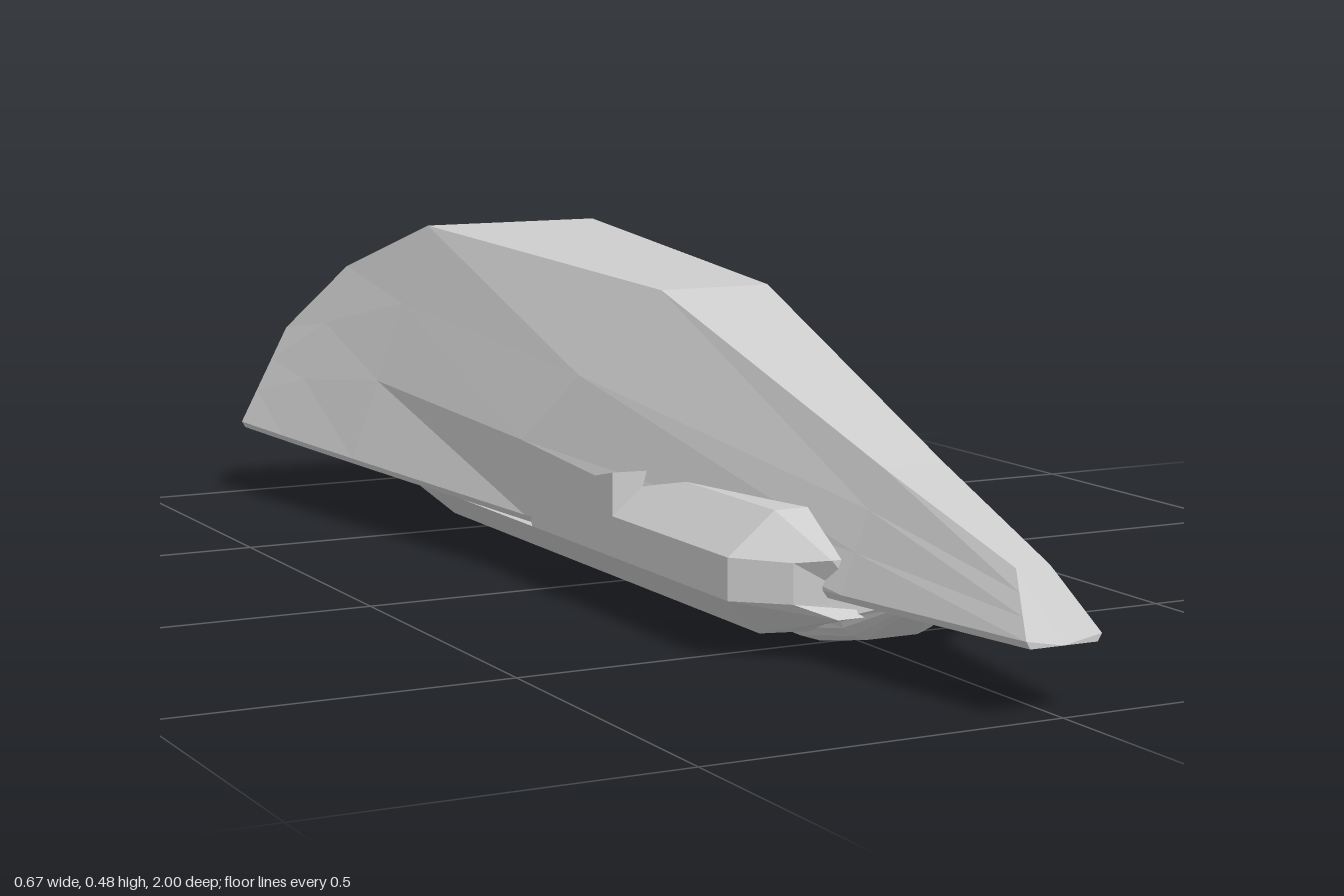
import * as THREE from 'three';

// Skin a list of rings (front to back, each counter-clockwise seen from +z) and cap both ends
function loft(name, rings) {
  const pos = [];
  const tri = (a, b, c) => pos.push(...a, ...b, ...c);
  const n = rings[0].length;
  for (let k = 0; k < rings.length - 1; k++) {
    const A = rings[k], B = rings[k + 1];
    for (let i = 0; i < n; i++) {
      const j = (i + 1) % n;
      tri(A[i], B[i], A[j]);
      tri(A[j], B[i], B[j]);
    }
  }
  const F = rings[0], R = rings[rings.length - 1];
  for (let i = 1; i < n - 1; i++) {
    tri(F[0], F[i], F[i + 1]);
    tri(R[0], R[i + 1], R[i]);
  }
  const geo = new THREE.BufferGeometry();
  geo.setAttribute('position', new THREE.Float32BufferAttribute(pos, 3));
  geo.computeVertexNormals();
  const mesh = new THREE.Mesh(geo, new THREE.MeshStandardMaterial({ color: 0xcccccc, flatShading: true }));
  mesh.name = name;
  return mesh;
}

const flip = ([x, y, z]) => [-x, y, z];
// Half ring from bottom to top on +x, completed on -x
const symmetric = (half) => [
  ...half,
  ...half.slice().reverse().filter((p) => p[0] > 0).map(flip),
];
const mirrorRings = (rings) => rings.map((r) => r.map(flip).reverse());
const atZ = (pts, z) => pts.map(([x, y]) => [x, y, z]);
const mix = (a, b, t) => a.map((v, i) => v + (b[i] - v) * t);

// Hull section: keel height, lower edge, roof corner, optional side points
function hullRing(keelY, edge, top, sides = [mix(edge, top, 1 / 3), mix(edge, top, 2 / 3)]) {
  const [x, y, z] = edge;
  return symmetric([[0, keelY, z], [x - 0.006, y - 0.01, z], edge, ...sides, top]);
}

export function createModel() {
  const model = new THREE.Group();
  model.name = 'wedgeCraft';

  // Main faceted hull, nose to stern
  model.add(loft('hull', [
    hullRing(0.09, [0.055, 0.1, 1], [0.025, 0.175, 0.93]),
    hullRing(0.088, [0.108, 0.098, 0.65], [0.046, 0.26, 0.65]),
    hullRing(0.08, [0.213, 0.092, -0.1], [0.087, 0.44, 0.1],
      [[0.217, 0.205, -0.1], [0.17, 0.31, 0]]),
    hullRing(0.08, [0.284, 0.108, -0.61], [0.148, 0.48, -0.61]),
    hullRing(0.08, [0.314, 0.115, -0.85], [0.195, 0.395, -0.85]),
    hullRing(0.08, [0.333, 0.12, -1], [0.255, 0.28, -0.985]),
  ]));

  // Side pods with chamfered fronts and tapering tails
  const podSection = [[0.215, 0.08], [0.215, 0.138], [0.145, 0.195], [0.06, 0.195], [0.06, 0.08]];
  const pod = [
    [[0.15, 0.08, 0.6], [0.15, 0.135, 0.6], [0.11, 0.14, 0.63], [0.06, 0.14, 0.63], [0.06, 0.08, 0.63]],
    atZ(podSection, 0.54),
    atZ(podSection, 0.2),
    atZ([[0.215, 0.08], [0.215, 0.138], [0.2, 0.14], [0.06, 0.14], [0.06, 0.08]], -0.07),
  ];
  model.add(loft('leftPod', pod), loft('rightPod', mirrorRings(pod)));

  // Raised wedge on the right pod only
  const wedgeSection = (h) => [[0.215, 0.1], [0.215, h], [0.1, h - 0.003], [0.1, 0.1]];
  model.add(loft('rightPodWedge', mirrorRings([
    atZ(wedgeSection(0.2), 0.2),
    atZ(wedgeSection(0.139), -0.07),
  ])));

  // Belly slab under the pods
  const belly = [[0, 0.022], [0.145, 0.022], [0.215, 0.08], [0, 0.088]];
  model.add(loft('belly', [
    symmetric([[0, 0.06, 0.63], [0.1, 0.06, 0.63], [0.15, 0.08, 0.6], [0, 0.085, 0.63]]),
    symmetric([[0, 0.022, 0.54], [0.145, 0.022, 0.5], [0.215, 0.08, 0.54], [0, 0.088, 0.54]]),
    symmetric(atZ(belly, -0.52)),
  ]));

  // Rounded keel with a tapered tip
  const keel = [[0, 0], [0.045, 0], [0.075, 0.01], [0.085, 0.022], [0.085, 0.045], [0.07, 0.068], [0, 0.08]];
  model.add(loft('keel', [
    symmetric(atZ([[0, 0.068], [0.022, 0.068], [0.03, 0.071], [0.036, 0.076], [0.04, 0.082], [0.04, 0.088], [0, 0.09]], 0.67)),
    symmetric(atZ([[0, 0.022], [0.04, 0.022], [0.062, 0.03], [0.075, 0.042], [0.08, 0.055], [0.065, 0.075], [0, 0.085]], 0.6)),
    symmetric(atZ(keel, 0.49)),
    symmetric(atZ(keel, -0.47)),
  ]));

  return model;
}
